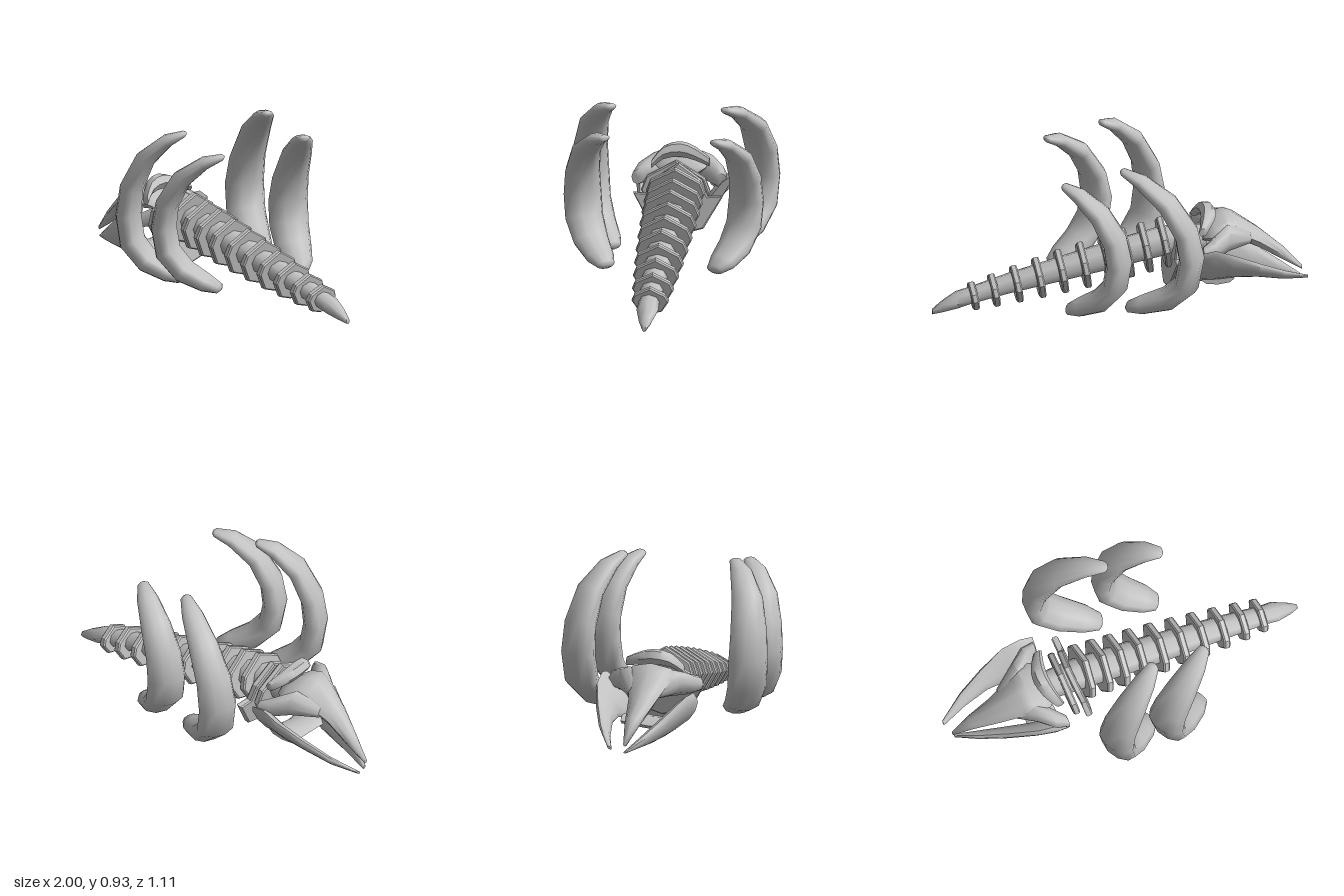
import * as THREE from 'three';
import { toCreasedNormals } from 'three/addons/utils/BufferGeometryUtils.js';

const V = (x, y, z) => new THREE.Vector3(x, y, z);

// Skin a list of rings { c: centre, a, b: half axes } and close both ends
function loft(rings, sides = 8, crease = 1) {
  const pos = [], idx = [], n = rings.length;
  const mid = rings[n >> 1], dir = rings[(n >> 1) + 1].c.clone().sub(mid.c);
  const turn = mid.a.clone().cross(mid.b).dot(dir) < 0 ? -1 : 1;
  for (const { c, a, b } of rings) {
    for (let j = 0; j < sides; j++) {
      const t = (j / sides) * Math.PI * 2;
      const p = c.clone().addScaledVector(a, Math.cos(t)).addScaledVector(b, Math.sin(t) * turn);
      pos.push(p.x, p.y, p.z);
    }
  }
  const first = n * sides, last = first + 1, end = (n - 1) * sides;
  pos.push(...rings[0].c.toArray(), ...rings[n - 1].c.toArray());
  for (let j = 0; j < sides; j++) {
    const k = (j + 1) % sides;
    for (let i = 0; i < n - 1; i++) {
      const p = i * sides, q = p + sides;
      idx.push(p + j, p + k, q + k, p + j, q + k, q + j);
    }
    idx.push(first, k, j, last, end + j, end + k);
  }
  const g = new THREE.BufferGeometry();
  g.setAttribute('position', new THREE.Float32BufferAttribute(pos, 3));
  g.setIndex(idx);
  return toCreasedNormals(g, crease);
}

// Rings for a bone running along x: [x, y, z, halfHeight, halfWidth], lean shifts the top in z
const alongX = (rows, lean = 0) => rows.map(([x, y, z, h, w]) => ({
  c: V(x, y, z), a: V(0, h, h * lean), b: V(0, 0, w),
}));

export function createModel() {
  const model = new THREE.Group();
  const bone = new THREE.MeshStandardMaterial({ color: 0xbfbfbf });
  bone.name = 'bone';
  const add = (name, geometry) => {
    const mesh = new THREE.Mesh(geometry, bone);
    mesh.name = name;
    model.add(mesh);
    return mesh;
  };

  // Tapering spine with a slightly swollen tail tip
  add('spine', loft(alongX([
    [-0.46, 0.36, 0, 0.07, 0.08], [-0.25, 0.35, 0, 0.08, 0.09], [0, 0.295, 0, 0.075, 0.09],
    [0.3, 0.225, 0, 0.065, 0.08], [0.6, 0.155, 0, 0.052, 0.066], [0.8, 0.1, 0, 0.045, 0.055],
    [0.87, 0.08, 0, 0.045, 0.058], [0.95, 0.045, 0, 0.03, 0.035], [1, 0.02, 0, 0.016, 0.012],
  ])));

  // Bevelled vertebra plates, tilted with the spine; each outline is half a plate, mirrored
  const pointed = [[0, 1], [0.85, 0.45], [1, 0], [0.64, -0.78], [0, -1]];
  const winged = [[0, 1], [0.52, 0.55], [0.66, 0.08], [1, 0.12], [0.58, -0.78], [0, -1]];
  const plate = (name, half, x, y, z, h, w, tilt) => {
    const bevel = 0.007, depth = 0.022;
    const outline = [...half, ...half.slice(1, -1).reverse().map(([u, v]) => [-u, v])];
    const shape = new THREE.Shape(outline.map(([u, v]) => new THREE.Vector2(u * (w - bevel), v * (h - bevel))));
    const g = new THREE.ExtrudeGeometry(shape, {
      depth, bevelEnabled: true, bevelSize: bevel, bevelThickness: bevel, bevelSegments: 1,
    });
    g.translate(0, 0, -depth / 2).rotateY(Math.PI / 2).rotateZ(-tilt);
    add(name, g).position.set(x, y, z);
  };
  const plates = [-0.24, -0.14, -0.04, 0.07, 0.19, 0.31, 0.43, 0.55, 0.67, 0.78];
  plates.forEach((x, i) => {
    const t = i / (plates.length - 1);
    plate('vertebra', pointed, x, 0.292 - 0.24 * x, -0.004, 0.142 - 0.065 * t * t, 0.158 - 0.06 * t * t, 0.16);
  });
  plate('neckVertebra', pointed, -0.35, 0.315, 0.01, 0.165, 0.185, -0.12);
  plate('neckVertebra', winged, -0.29, 0.29, -0.01, 0.195, 0.24, -0.18);

  // Curved floating ribs: each arcs backward (sweep) and outward (bulge) from its end points
  const sweep = [0, 0.03, 0.28, 0.65, 0.92, 1, 0.93, 0.66, 0.32, 0.12, 0.09];
  const bulge = [0.06, 0.1, 0.42, 0.8, 0.98, 1, 0.93, 0.66, 0.3, 0.07, 0.03];
  const widths = [0.014, 0.032, 0.06, 0.085, 0.1, 0.108, 0.108, 0.1, 0.08, 0.05, 0.025];
  const depths = [0.008, 0.018, 0.036, 0.052, 0.06, 0.064, 0.066, 0.062, 0.048, 0.028, 0.012];
  const heights = [0.92, 0.915, 0.875, 0.765, 0.6, 0.45, 0.3, 0.2, 0.145, 0.12, 0.117];
  const rib = (name, endX, endZ, midX, midZ, drop) => {
    const dx = midX - endX, dz = midZ - endZ;
    const normal = V(-dz, 0, dx).normalize();
    const pts = heights.map((y, i) =>
      V(endX + dx * sweep[i], y - drop * Math.max(0, (y - 0.3) / 0.6), endZ + dz * bulge[i]));
    const end = pts.length - 1;
    add(name, loft(pts.map((c, i) => {
      const tangent = pts[Math.min(i + 1, end)].clone().sub(pts[Math.max(i - 1, 0)]).normalize();
      return {
        c, a: normal.clone().multiplyScalar(widths[i]),
        b: tangent.cross(normal).normalize().multiplyScalar(depths[i]),
      };
    }), 10, 1.2));
  };
  rib('leftFrontRib', 0.05, 0.29, -0.235, 0.452, 0);
  rib('leftRearRib', 0.345, 0.285, 0.05, 0.456, 0.07);
  rib('rightFrontRib', 0.035, -0.29, -0.322, -0.458, 0);
  rib('rightRearRib', 0.345, -0.275, 0.062, -0.422, 0.07);

  // Pointed upper skull with swept-back cheeks
  add('skull', loft(alongX([
    [-0.98, 0.15, -0.02, 0.012, 0.01], [-0.88, 0.235, -0.01, 0.04, 0.04], [-0.75, 0.33, 0.01, 0.055, 0.075],
    [-0.62, 0.41, 0.015, 0.065, 0.115], [-0.57, 0.425, 0.01, 0.065, 0.14], [-0.5, 0.41, 0, 0.055, 0.15],
    [-0.44, 0.39, 0, 0.03, 0.1],
  ])));
  for (const s of [1, -1]) {
    add('cheek', loft(alongX([
      [-0.7, 0.36, s * 0.045, 0.035, 0.04], [-0.57, 0.39, s * 0.105, 0.075, 0.075],
      [-0.49, 0.37, s * 0.18, 0.06, 0.065], [-0.42, 0.355, s * 0.225, 0.042, 0.032],
    ])));
  }

  // Forked lower jaw: two prongs leaning inward at the bottom, joined by a bridge at the back
  add('leftJaw', loft(alongX([
    [-0.97, 0.105, -0.02, 0.008, 0.01], [-0.86, 0.135, 0.035, 0.038, 0.025], [-0.72, 0.172, 0.095, 0.076, 0.035],
    [-0.58, 0.212, 0.15, 0.11, 0.04], [-0.48, 0.22, 0.17, 0.1, 0.045], [-0.41, 0.2, 0.175, 0.07, 0.035],
  ], 0.5)));
  add('rightJaw', loft(alongX([
    [-1, 0.13, -0.1, 0.01, 0.01], [-0.86, 0.18, -0.165, 0.035, 0.022], [-0.72, 0.235, -0.205, 0.055, 0.03],
    [-0.58, 0.275, -0.225, 0.09, 0.035], [-0.48, 0.275, -0.2, 0.125, 0.04], [-0.41, 0.27, -0.2, 0.115, 0.03],
  ], -0.65)));
  add('jawBridge', loft([
    [-0.51, 0.17, -0.15, 0.09], [-0.51, 0.15, 0, 0.08], [-0.51, 0.15, 0.13, 0.09],
  ].map(([x, y, z, w]) => ({ c: V(x, y, z), a: V(w, 0, 0), b: V(0, 0.03, 0) }))));

  // Arched crest behind the skull
  const crest = new THREE.CatmullRomCurve3([
    V(-0.43, 0.43, 0.15), V(-0.465, 0.485, 0.09), V(-0.48, 0.502, 0), V(-0.465, 0.485, -0.08), V(-0.43, 0.455, -0.16),
  ]);
  add('crest', loft(crest.getPoints(8).map((c, i) => {
    const r = 0.024 + 0.018 * Math.sin((i / 8) * Math.PI);
    return { c, a: V(r, 0, 0), b: V(0, r, 0) };
  }), 6));

  return model;
}
